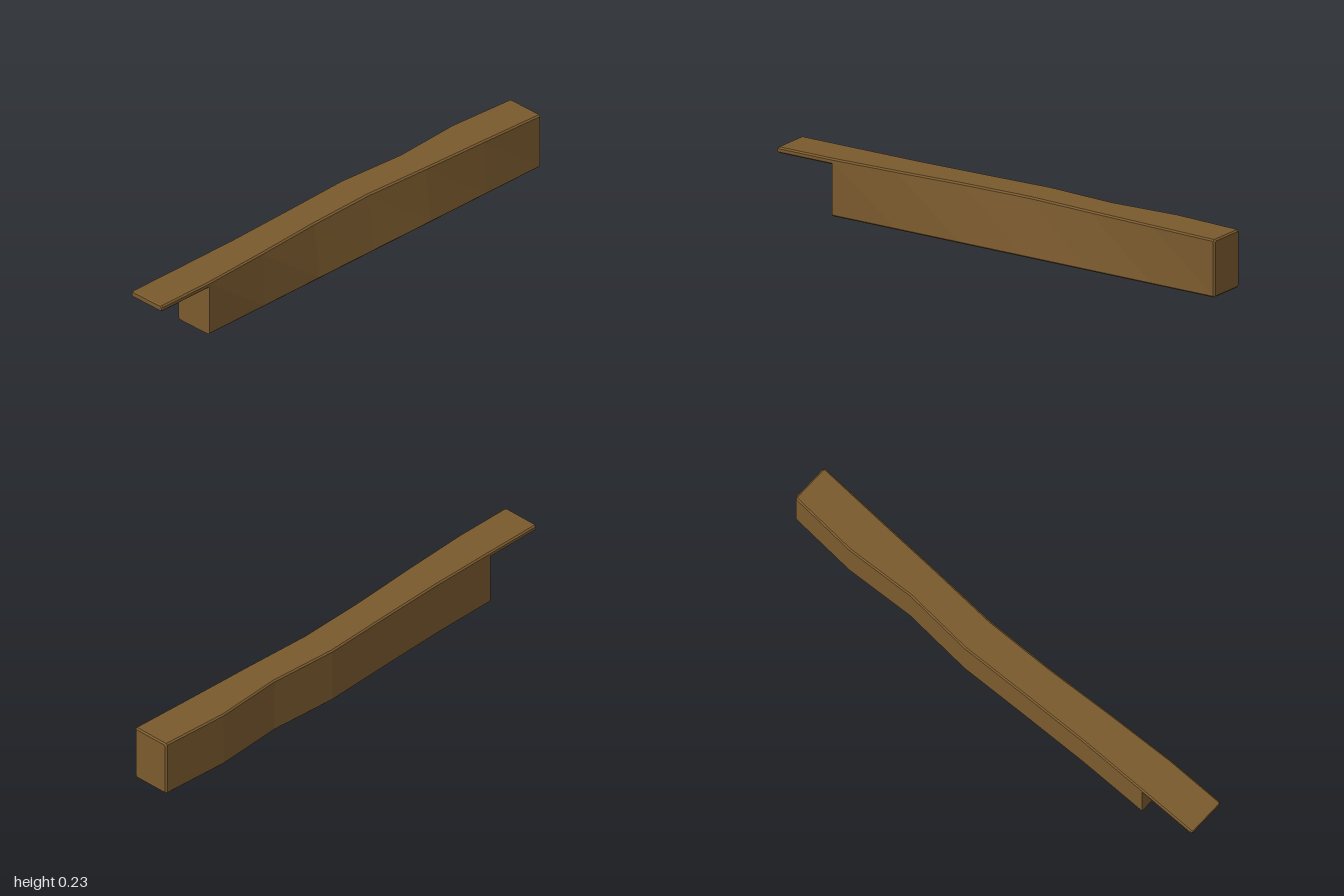
import * as THREE from 'three';

const HEIGHT = 0.228, FRONT = 0.092, BEVEL = 0.006;

// plan of the block: [x, back z, front z at the top edge]
const plan = [
  [-1, -0.072, 0.092], [-0.75, -0.072, 0.092], [-0.458, -0.073, 0.078],
  [-0.167, -0.082, 0.06], [0.125, -0.093, 0.052], [0.417, -0.073, 0.067],
  [0.708, -0.09, 0.079], [1, -0.072, 0.092],
];

// bevelled cross-section; the front leans from a straight foot to the wavy top edge
function section([x, back, top], y0, y1, inset) {
  const front = y => THREE.MathUtils.lerp(FRONT, top, y / HEIGHT) - inset;
  const lo = y0 + inset, hi = y1 - inset, b = back + inset, e = BEVEL;
  return [
    [lo, b + e], [lo + e, b], [hi - e, b], [hi, b + e],
    [hi, front(hi) - e], [hi - e, front(hi - e)], [lo + e, front(lo + e)], [lo, front(lo) - e],
  ].map(([y, z]) => [x, y, z]);
}

// skin a row of cross-sections and close both ends
function loft(rings) {
  const n = rings[0].length, index = [];
  for (let i = 0; i < rings.length - 1; i++) {
    for (let j = 0; j < n; j++) {
      const k = (j + 1) % n, p = i * n, q = p + n;
      index.push(p + j, p + k, q + k, p + j, q + k, q + j);
    }
  }
  const end = (rings.length - 1) * n;
  for (let j = 1; j < n - 1; j++) {
    index.push(0, j + 1, j, end, end + j, end + j + 1);
  }
  const g = new THREE.BufferGeometry();
  g.setAttribute('position', new THREE.Float32BufferAttribute(rings.flat(2), 3));
  g.setIndex(index);
  const flat = g.toNonIndexed();
  flat.computeVertexNormals();
  return flat;
}

export function createModel() {
  const group = new THREE.Group();
  const wood = new THREE.MeshStandardMaterial({ color: 0x7a5a2e });
  wood.name = 'brown wood';

  const add = (name, rings) => {
    const mesh = new THREE.Mesh(loft(rings), wood);
    mesh.name = name;
    group.add(mesh);
  };
  const shifted = (s, dx) => [s[0] + dx, s[1], s[2]];

  // long block with a wavy back and a hollowed front
  const right = plan[plan.length - 1];
  add('block', [
    ...plan.slice(1, -1).map(s => section(s, 0, HEIGHT, 0)),
    section(shifted(right, -BEVEL), 0, HEIGHT, 0),
    section(right, 0, HEIGHT, BEVEL),
  ]);

  // thin ledge overhanging one end
  add('ledge', [
    section(plan[0], 0.204, HEIGHT, BEVEL / 2),
    section(shifted(plan[0], BEVEL), 0.204, HEIGHT, 0),
    section(plan[1], 0.204, HEIGHT, 0),
  ]);

  return group;
}
